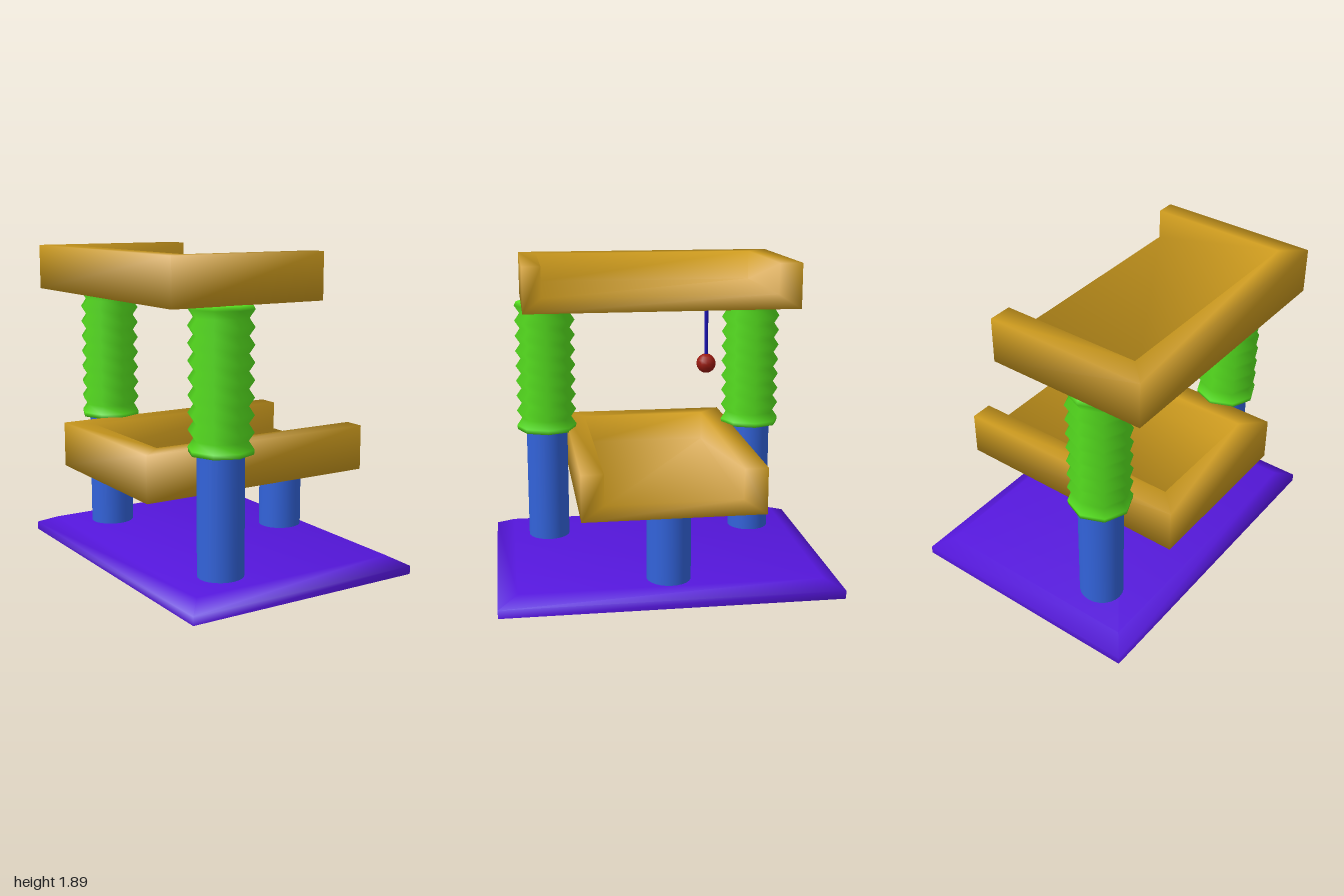
import * as THREE from 'three';

const mat = (color) => new THREE.MeshStandardMaterial({ color });
const gold = mat(0xcc9a1e), green = mat(0x56e01f), blue = mat(0x3263da);
const purple = mat(0x5516dc), red = mat(0x9a1a10), navy = mat(0x1a10b4);
purple.side = THREE.DoubleSide;
blue.side = THREE.DoubleSide;

function part(name, geometry, material, x = 0, y = 0, z = 0) {
  const mesh = new THREE.Mesh(geometry, material);
  mesh.name = name;
  mesh.position.set(x, y, z);
  return mesh;
}

// Four corners of a level rectangle, in a fixed order
const ring = (y, x0, x1, z0, z1) => [[x0, y, z0], [x1, y, z0], [x1, y, z1], [x0, y, z1]];

// Soft normals: each face counts by its angle at the corner, not by its area
function angleNormals(points, index) {
  const normals = points.map(() => new THREE.Vector3());
  for (let f = 0; f < index.length; f += 3) {
    for (let c = 0; c < 3; c++) {
      const [a, b, d] = [0, 1, 2].map((k) => index[f + (c + k) % 3]);
      const ab = points[b].clone().sub(points[a]);
      const ad = points[d].clone().sub(points[a]);
      const face = ab.clone().cross(ad).normalize();
      normals[a].addScaledVector(face, ab.angleTo(ad));
    }
  }
  return normals.flatMap((n) => n.normalize().toArray());
}

// Stacked rings joined along the chosen sides, capped on the last ring
function ringShell(rings, sides, extraQuads = []) {
  const index = [];
  const quad = (a, b, c, d) => index.push(a, b, c, a, c, d);
  const last = (rings.length - 1) * 4;
  for (let k = 0; k < last; k += 4) {
    for (const i of sides) {
      const j = (i + 1) % 4;
      quad(k + j, k + i, k + i + 4, k + j + 4);
    }
  }
  quad(last, last + 3, last + 2, last + 1);
  extraQuads.forEach((q) => quad(...q));
  const points = rings.flat().map((p) => new THREE.Vector3(...p));
  const geometry = new THREE.BufferGeometry().setFromPoints(points);
  geometry.setIndex(index);
  geometry.setAttribute('normal', new THREE.Float32BufferAttribute(angleNormals(points, index), 3));
  return geometry;
}

// Tray with three walls, open at its +x end; the extra quads are its underside and open end
function tray(y0, yFloor, y1, x0, xIn, x1, z0, zIn0, zIn1, z1) {
  return ringShell([
    ring(y0, x0, x1, z0, z1),
    ring(y1, x0, x1, z0, z1),
    ring(y1, xIn, x1, zIn0, zIn1),
    ring(yFloor, xIn, x1, zIn0, zIn1),
  ], [0, 2, 3], [[0, 1, 2, 3], [2, 1, 13, 14], [1, 5, 9, 13], [2, 14, 10, 6]]);
}

// Open tube standing on the base plate
function post(name, x, z, top) {
  const bottom = 0.097;
  const geometry = new THREE.CylinderGeometry(0.135, 0.135, top - bottom, 24, 1, true);
  geometry.scale(1, 1, 0.96);
  return part(name, geometry, blue, x, (top + bottom) / 2, z);
}

// Eight-sided ribbed sleeve
function sleeveGeometry() {
  const profile = [[0.12, 0.803], [0.185, 0.803]];
  const ribs = 9, pitch = 0.0956;
  for (let k = 0; k < ribs; k++) {
    const y = 0.83 + k * pitch;
    profile.push([0.188, y]);
    if (k < ribs - 1) profile.push([0.156, y + pitch / 2]);
  }
  profile.push([0.175, 1.621], [0.12, 1.621]);
  return new THREE.LatheGeometry(profile.map((p) => new THREE.Vector2(...p)), 8);
}

export function createModel() {
  const model = new THREE.Group();
  model.name = 'climbingTower';

  // Bevelled base plate, hollow underneath
  model.add(part('base', ringShell([
    ring(0, -0.745, 0.747, -1, 1),
    ring(0.05, -0.745, 0.747, -1, 1),
    ring(0.1, -0.655, 0.655, -0.885, 0.885),
  ], [0, 1, 2, 3]), purple));

  // Tall posts with sleeves, short post under the lower tray
  for (const [side, z] of [['front', 0.661], ['back', -0.658]]) {
    model.add(post(side + 'Post', -0.359, z, 1.62));
    model.add(part(side + 'Sleeve', sleeveGeometry(), green, -0.359, 0, z));
  }
  model.add(post('shortPost', 0.517, 0.007, 0.54));

  // Trays
  model.add(part('lowerTray',
    tray(0.538, 0.63, 0.81, -0.75, -0.615, 0.744, -0.522, -0.385, 0.4, 0.528), gold));
  model.add(part('upperTray',
    tray(1.62, 1.71, 1.89, -0.75, -0.615, 0.215, -0.832, -0.692, 0.697, 0.807), gold));

  // Hanging toy
  model.add(part('string', new THREE.CylinderGeometry(0.011, 0.011, 0.33, 8), navy, 0.144, 1.475, -0.273));
  model.add(part('ball', new THREE.SphereGeometry(0.058, 10, 8), red, 0.144, 1.296, -0.273));

  return model;
}
